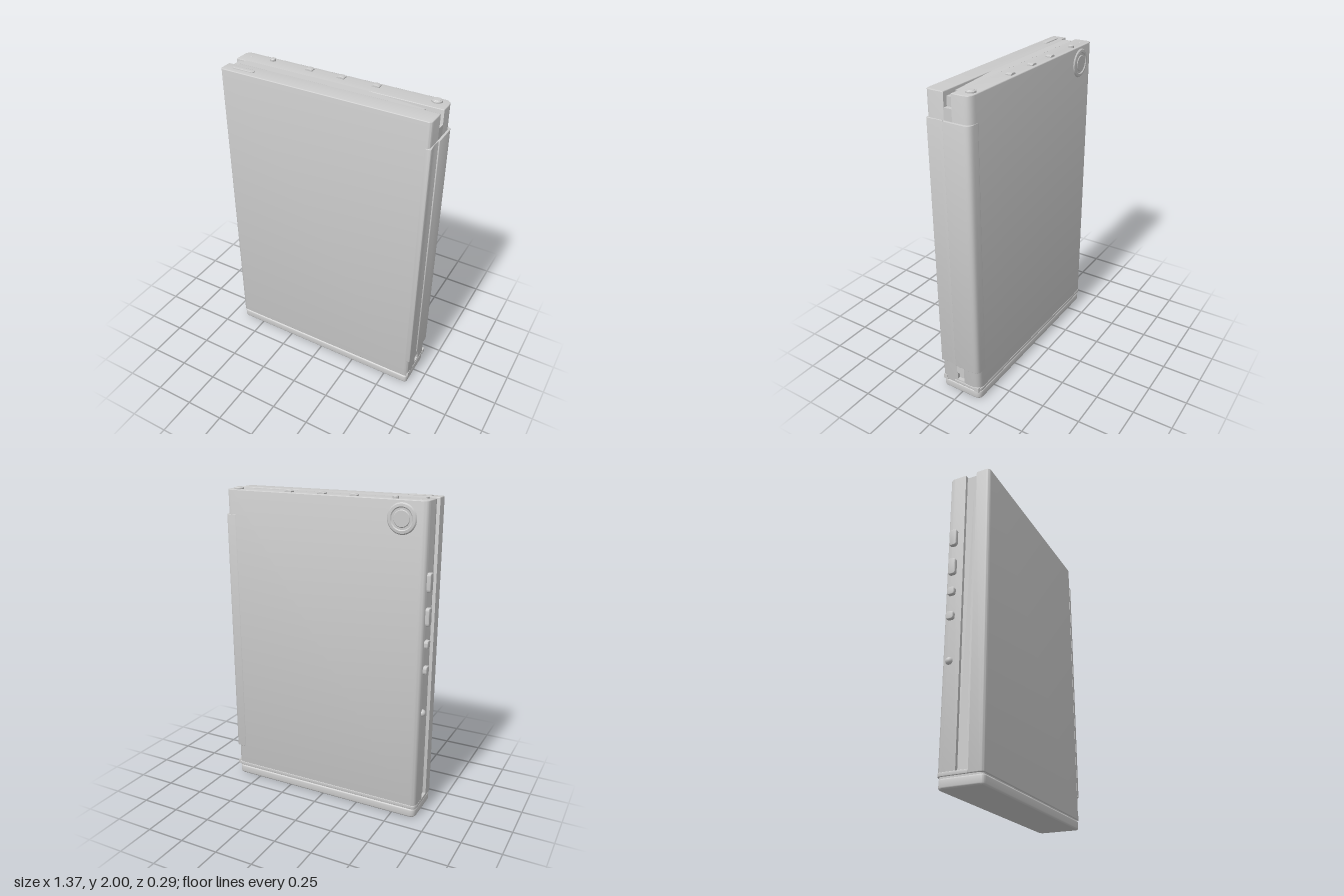
import * as THREE from 'three';
import { toCreasedNormals } from 'three/addons/utils/BufferGeometryUtils.js';

const material = new THREE.MeshStandardMaterial({ color: 0xcccccc });

// Closed outline from [a, b, cornerRadius] points
function outline(points) {
  const shape = new THREE.Shape();
  const n = points.length;
  points.forEach(([x, y, r = 0], i) => {
    const p = new THREE.Vector2(x, y);
    const toward = (q) => p.clone().add(new THREE.Vector2(q[0], q[1]).sub(p).setLength(r));
    const a = r ? toward(points[(i + n - 1) % n]) : p;
    if (i === 0) shape.moveTo(a.x, a.y);
    else shape.lineTo(a.x, a.y);
    if (r) {
      const b = toward(points[(i + 1) % n]);
      shape.quadraticCurveTo(x, y, b.x, b.y);
    }
  });
  shape.closePath();
  return shape;
}

function extrude(shape, depth, bevel) {
  const geo = new THREE.ExtrudeGeometry(shape, {
    depth: depth - 2 * bevel, bevelEnabled: bevel > 0, bevelThickness: bevel,
    bevelSize: bevel, bevelOffset: -bevel, bevelSegments: 3, curveSegments: 8,
  });
  geo.translate(0, 0, bevel);
  return toCreasedNormals(geo, 0.6);
}

export function createModel() {
  const group = new THREE.Group();
  const add = (name, geo, x = 0, y = 0, z = 0) => {
    const mesh = new THREE.Mesh(geo, material);
    mesh.name = name;
    mesh.position.set(x, y, z);
    group.add(mesh);
    return mesh;
  };
  // Vertical prism from an [x, z, radius] plan
  const prism = (name, plan, y0, y1, bevel) => {
    const geo = extrude(outline(plan.map(([x, z, r]) => [x, -z, r])), y1 - y0, bevel);
    add(name, geo.rotateX(-Math.PI / 2), 0, y0);
  };
  const rect = (x0, x1, z0, z1, rBack, rFront = rBack) =>
    [[x0, z0, rBack], [x1, z0, rBack], [x1, z1, rFront], [x0, z1, rFront]];

  // Case: back shell, front lid and the recessed core between them
  prism('backShell', [[-0.663, -0.142, 0.04], [0.672, -0.142, 0.05], [0.672, -0.025], [-0.663, -0.025]], 0.066, 1.985, 0.004);
  prism('frontLid', [[-0.663, 0.05], [-0.6, 0.05], [-0.6, 0.025], [0.672, 0.025],
    [0.672, 0.14, 0.025], [-0.663, 0.14, 0.025]], 0.066, 1.985, 0.004);
  const core = outline([[-0.642, 0.066], [0.672, 0.066], [0.672, 0.1], [0.65, 0.1], [0.65, 0.15], [0.672, 0.15],
    [0.672, 1.9], [0.645, 1.9], [0.645, 1.955], [0.565, 1.955], [0.565, 1.965], [0.22, 1.985],
    [-0.6, 1.985], [-0.6, 1.975], [-0.642, 1.975]]);
  add('core', extrude(core, 0.056, 0), 0, 0, -0.028);
  add('leftGrooveFloor', new THREE.BoxGeometry(0.05, 1.909, 0.026), -0.617, 1.0205, 0.038);

  // Bottom cap with a narrow shadow gap above it
  prism('seam', rect(-0.655, 0.664, -0.135, 0.133, 0.03), 0.05, 0.075, 0);
  prism('bottomCap', rect(-0.658, 0.668, -0.14, 0.14, 0.04, 0.025), 0, 0.06, 0.012);
  prism('lowerRim', rect(-0.664, 0.674, -0.144, 0.05, 0.04, 0.002), 0.066, 0.088, 0.002);
  for (const z of [-0.12, 0.12]) {
    add('cornerClip', new THREE.BoxGeometry(0.02, 0.032, 0.03), 0.666, 0.079, z);
  }

  // Hinge side panels
  prism('rearHingePanel', [[0.6, -0.143, 0.01], [0.685, -0.143, 0.04], [0.685, 0.03, 0.004], [0.6, 0.03]], 0.215, 1.83, 0.002);
  prism('frontHingePanel', [[0.65, 0.033], [0.679, 0.033], [0.675, 0.08, 0.02], [0.683, 0.142, 0.014], [0.65, 0.142]], 0.215, 1.83, 0.002);

  // Dial on the back
  const dial = [[0, 0.008], [0.046, 0.008], [0.05, 0.004], [0.062, 0.004], [0.068, 0.009], [0.083, 0.007], [0.09, 0], [0.09, -0.01]]
    .reverse().map(([r, h]) => new THREE.Vector2(r, h));
  const dialGeo = toCreasedNormals(new THREE.LatheGeometry(dial, 48), 0.5).rotateX(-Math.PI / 2);
  add('backDial', dialGeo, -0.51, 1.88, -0.142);

  // Top controls
  const topDisc = (name, x, z, r, h) => {
    const profile = [[r, -0.01], [r, h - 0.003], [r - 0.003, h], [0, h]].map(([a, b]) => new THREE.Vector2(a, b));
    add(name, toCreasedNormals(new THREE.LatheGeometry(profile, 32), 0.5), x, 1.985, z);
  };
  topDisc('topKnob', 0.6, -0.098, 0.03, 0.011);
  topDisc('topKnobCentre', 0.6, -0.098, 0.022, 0.014);
  topDisc('topButton', -0.455, -0.105, 0.018, 0.015);
  topDisc('indicator', -0.6, -0.09, 0.007, 0.003);
  const key = outline([[-0.023, -0.01], [0.023, -0.01], [0.023, 0.006], [0.01, 0.013], [-0.01, 0.013], [-0.023, 0.006]]);
  for (const x of [-0.198, 0.012, 0.235]) add('topKey', extrude(key, 0.036, 0.002), x, 1.985, -0.12);
  prism('topSlideButton', rect(-0.605, -0.455, 0.072, 0.104, 0.0155), 1.975, 1.991, 0.002);

  // Side controls, rounded bars of height h
  const sideKey = (y, h) => {
    const w = 0.024;
    const shape = outline([[-w, -h / 2, w * 0.7], [w, -h / 2, w * 0.7], [w, h / 2, w * 0.7], [-w, h / 2, w * 0.7]]);
    add('sideButton', extrude(shape, 0.04, 0.005).rotateY(-Math.PI / 2), -0.645, y, -0.09);
  };
  [[1.525, 0.112], [1.322, 0.108], [1.155, 0.05], [0.995, 0.05]].forEach(([y, h]) => sideKey(y, h));
  const dome = new THREE.SphereGeometry(0.023, 24, 16);
  add('sideDome', dome, -0.661, 0.715, -0.09);

  return group;
}
